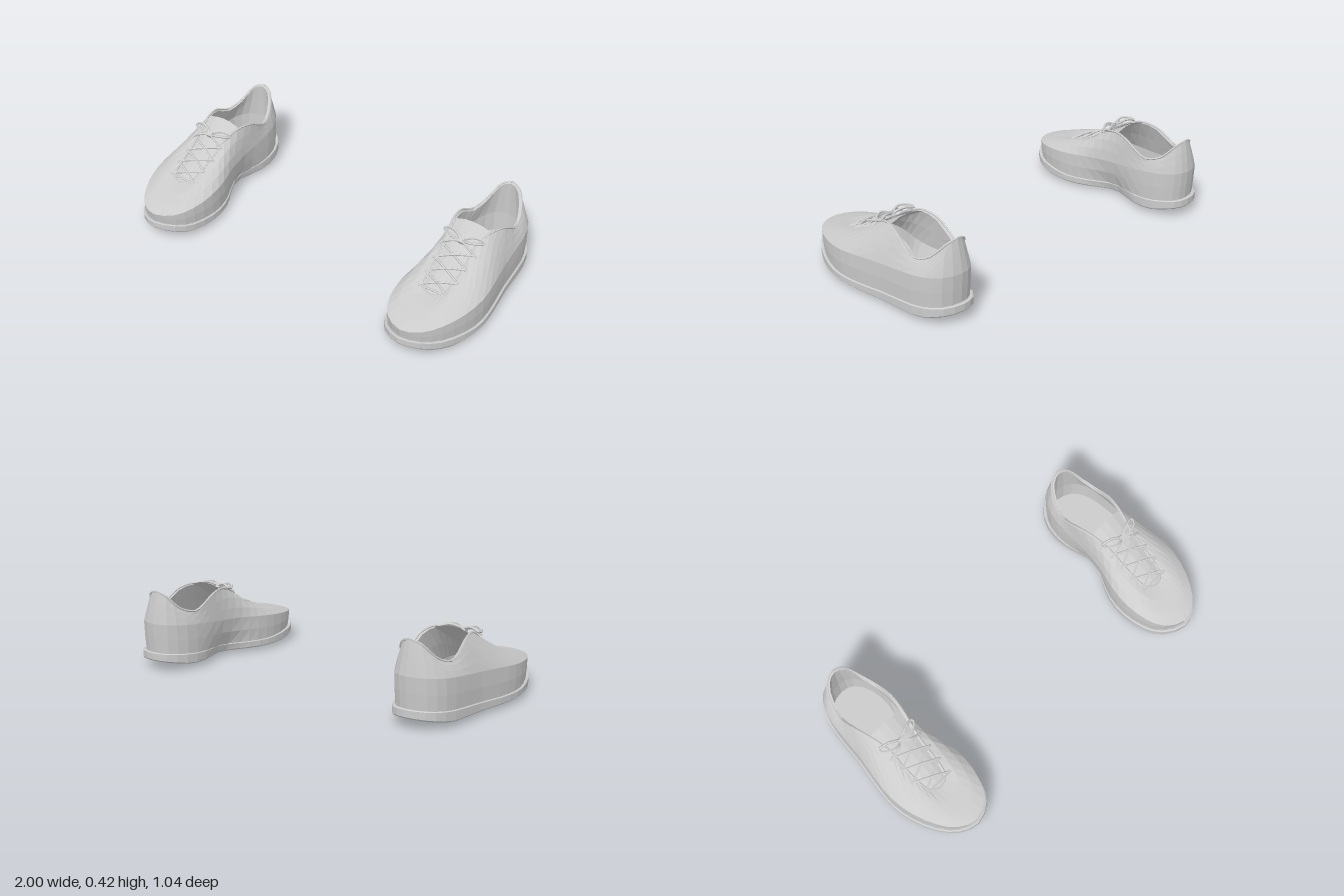
import * as THREE from 'three';

const COLS = 40, CX = 0.79;
const V = (x, y, z) => new THREE.Vector3(x, y, z);

// Stations around the shoe, heel > outer side > toe > inner side:
// outline x, z, then opening edge x, y, z
const STATIONS = [
  [0.785, -0.51, 0.785, 0.418, -0.48],
  [0.88, -0.48, 0.84, 0.395, -0.462],
  [0.935, -0.40, 0.885, 0.325, -0.40],
  [0.955, -0.27, 0.91, 0.302, -0.31],
  [0.965, -0.13, 0.90, 0.362, -0.20],
  [0.985, 0.01, 0.875, 0.38, -0.10],
  [0.995, 0.14, 0.85, 0.345, 0],
  [0.972, 0.27, 0.85, 0.29, 0.08],
  [0.92, 0.39, 0.845, 0.25, 0.17],
  [0.85, 0.475, 0.83, 0.218, 0.25],
  [0.755, 0.51, 0.778, 0.208, 0.275],
  [0.655, 0.46, 0.722, 0.218, 0.25],
  [0.605, 0.37, 0.705, 0.25, 0.17],
  [0.585, 0.24, 0.70, 0.29, 0.08],
  [0.597, 0.12, 0.69, 0.345, 0],
  [0.625, 0.01, 0.67, 0.38, -0.10],
  [0.64, -0.12, 0.655, 0.362, -0.20],
  [0.64, -0.26, 0.66, 0.302, -0.31],
  [0.655, -0.39, 0.69, 0.325, -0.40],
  [0.71, -0.485, 0.732, 0.395, -0.462],
];

// Piecewise linear height along z
const heights = (table) => (z) => {
  const last = table.length - 1;
  if (z <= table[0][0]) return table[0][1];
  for (let i = 0; i < last; i++) {
    const [z0, y0] = table[i], [z1, y1] = table[i + 1];
    if (z <= z1) return y0 + ((y1 - y0) * (z - z0)) / (z1 - z0);
  }
  return table[last][1];
};
const soleBottom = heights([[-0.52, 0.055], [-0.37, 0.026], [0, 0.02], [0.3, 0.02], [0.42, 0.035], [0.52, 0.07]]);
const soleTop = heights([[-0.52, 0.095], [-0.35, 0.077], [0, 0.056], [0.2, 0.054], [0.4, 0.072], [0.52, 0.105]]);
const shoulderY = heights([[-0.5, 0.25], [-0.2, 0.22], [0.05, 0.2], [0.25, 0.18], [0.51, 0.152]]);
const throatY = heights([[-0.11, 0.4], [-0.06, 0.372], [0, 0.335], [0.08, 0.284], [0.17, 0.243], [0.29, 0.195]]);

const sample = (points) => {
  const curve = new THREE.CatmullRomCurve3(points, true);
  return Array.from({ length: COLS }, (_, i) => curve.getPoint(i / COLS));
};
const outline = sample(STATIONS.map(([x, z]) => V(x, 0, z)));
const edge = sample(STATIONS.map(([, , x, y, z]) => V(x, y, z)));

// A ring following the outline, scaled about the middle; the arch may be pinched
const ring = (sx, sz, height, arch = 0) => outline.map((p) => {
  const pinch = p.x < CX ? arch * Math.exp(-(((p.z + 0.09) / 0.13) ** 2)) : 0;
  const z = p.z * sz;
  return V(CX + (p.x + pinch - CX) * sx, height(z), z);
});
const mix = (a, b, t, lift = 0) => a.map((p, i) => {
  const q = p.clone().lerp(b[i], t);
  q.y += lift;
  return q;
});

// Skin over closed rings that share the same column count
function loft(rings) {
  const positions = [], index = [];
  for (const r of rings) for (const p of r) positions.push(p.x, p.y, p.z);
  for (let i = 0; i < rings.length - 1; i++) {
    for (let j = 0; j < COLS; j++) {
      const k = (j + 1) % COLS;
      const a = i * COLS + j, b = i * COLS + k, c = a + COLS, d = b + COLS;
      index.push(a, c, b, b, c, d);
    }
  }
  const g = new THREE.BufferGeometry();
  g.setAttribute('position', new THREE.Float32BufferAttribute(positions, 3));
  g.setIndex(index);
  g.computeVertexNormals();
  return g;
}

function soleGeometry(ballDrop) {
  const bottom = (s) => ring(s, 1.01 * s, soleBottom, 0.055).map((p) => {
    const across = Math.max(0, 1 - ((p.x - CX) / 0.2) ** 2);
    p.y -= ballDrop * across * Math.exp(-(((p.z - 0.28) / 0.13) ** 2));
    return p;
  });
  return loft([
    bottom(0), bottom(0.3), bottom(0.55), bottom(0.78), bottom(1),
    ring(1.03, 1.02, (z) => soleBottom(z) + 0.006, 0.055),
    ring(1.03, 1.02, soleTop, 0.045),
    ring(1.0, 1.005, (z) => soleTop(z) + 0.004, 0.045),
    ring(0.95, 0.96, soleTop, 0.045),
  ]);
}

// Outer skin, over the opening edge, down the lining and across the insole
function upperGeometry() {
  const shoulder = ring(0.985, 1, shoulderY);
  const inside = ring(0.92, 0.93, (z) => shoulderY(z) - 0.03);
  const rim = edge.map((p) => V(CX + (p.x - CX) * 0.9, p.y - 0.004, p.z * 0.975));
  const floor = (s) => ring(0.9 * s, 0.92 * s, () => 0.105, 0.04);
  return loft([
    ring(0.975, 0.975, (z) => soleTop(z) - 0.01, 0.045),
    ring(0.995, 0.99, (z) => soleTop(z) * 0.5 + shoulderY(z) * 0.5, 0.015),
    shoulder,
    mix(shoulder, edge, 0.3, 0.006), mix(shoulder, edge, 0.65, 0.006), edge,
    rim, mix(rim, inside, 0.5), inside, floor(1), floor(0.5), floor(0),
  ]);
}

function tongueGeometry() {
  const g = new THREE.PlaneGeometry(2, 1, 4, 9), p = g.attributes.position;
  for (let i = 0; i < p.count; i++) {
    const u = p.getX(i), t = p.getY(i) + 0.5;
    const z = 0.29 - 0.4 * t;
    p.setXYZ(i, 0.776 + u * (0.072 + 0.022 * t), throatY(z) - 0.02 * u * u, z);
  }
  g.computeVertexNormals();
  return g;
}

const cord = (points, radius = 0.006, segments = 10) =>
  new THREE.TubeGeometry(new THREE.CatmullRomCurve3(points), segments, radius, 5);

function laceGeometries() {
  const rows = [0.255, 0.175, 0.1, 0.03];
  const at = (s, z, lift) => V(0.778 + s * 0.09, throatY(z) + lift, z);
  const list = [];
  rows.forEach((z, i) => {
    // short ends reaching through the eyelets
    for (const s of [-1, 1]) list.push(cord([at(s * 0.7, z, 0.012), at(s, z, 0.006), at(s * 1.15, z, -0.012)], 0.0065, 5));
    if (i === 0) list.push(cord([at(-1, z, 0.008), at(0, z, 0.014), at(1, z, 0.008)]));
    else for (const s of [-1, 1]) {
      const z0 = rows[i - 1];
      list.push(cord([at(-s, z0, 0.008), at(0, (z0 + z) / 2, 0.016 + 0.004 * s), at(s, z, 0.008)]));
    }
  });
  return list;
}

function bowGeometries() {
  const x = 0.778, list = [];
  for (const s of [-1, 1]) {
    list.push(cord([
      V(x, 0.36, 0.005), V(x + s * 0.05, 0.378, 0.02), V(x + s * 0.105, 0.373, -0.012),
      V(x + s * 0.11, 0.368, -0.035), V(x + s * 0.06, 0.382, -0.025), V(x, 0.363, 0),
    ], 0.007, 14));
    list.push(cord([V(x, 0.36, 0.005), V(x + s * 0.04, 0.362, 0.03), V(x + s * 0.085, 0.335, 0.035)], 0.006, 7));
  }
  list.push(new THREE.BoxGeometry(0.028, 0.024, 0.028).rotateX(0.5).translate(x, 0.36, 0.004));
  return list;
}

// Mirror a geometry in x, keeping its faces turned outwards
function mirrored(g) {
  g.scale(-1, 1, 1);
  const ix = g.index.array;
  for (let i = 0; i < ix.length; i += 3) [ix[i + 1], ix[i + 2]] = [ix[i + 2], ix[i + 1]];
  return g;
}

export function createModel() {
  const material = new THREE.MeshStandardMaterial({ color: 0xcccccc, flatShading: true });
  const thin = material.clone();
  thin.side = THREE.DoubleSide;

  const shoe = (name, flip, ballDrop) => {
    const group = new THREE.Group();
    group.name = name;
    const add = (part, g, mat = material) => {
      const mesh = new THREE.Mesh(flip ? mirrored(g) : g, mat);
      mesh.name = part;
      group.add(mesh);
    };
    add('sole', soleGeometry(ballDrop));
    add('upper', upperGeometry(), thin);
    add('collarRim', new THREE.TubeGeometry(new THREE.CatmullRomCurve3(edge, true), 60, 0.006, 5, true));
    add('tongue', tongueGeometry(), thin);
    laceGeometries().forEach((g) => add('lace', g));
    bowGeometries().forEach((g) => add('bow', g));
    return group;
  };

  const model = new THREE.Group();
  model.name = 'pairOfShoes';
  model.add(shoe('leftShoe', false, 0.02), shoe('rightShoe', true, 0));
  return model;
}
